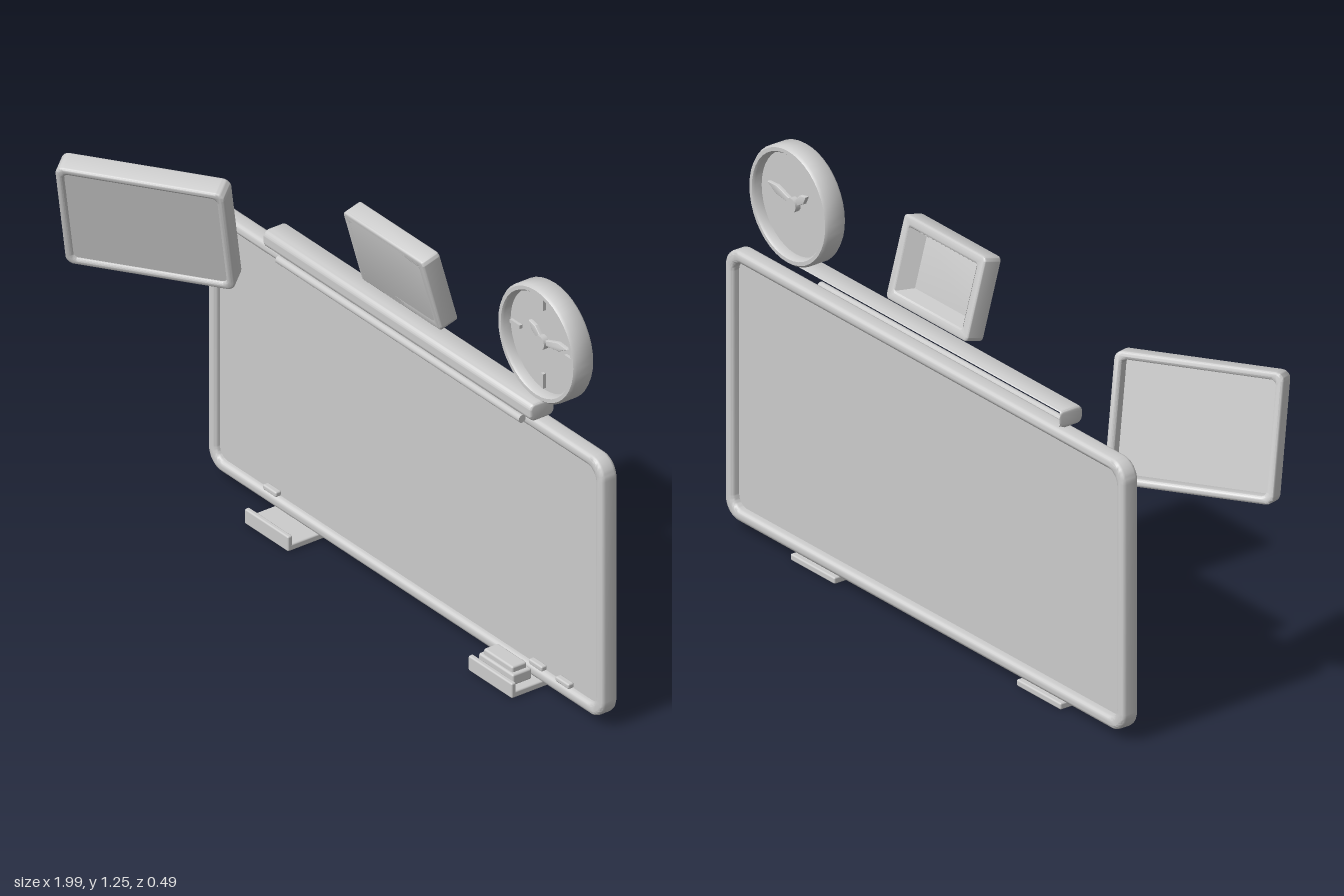
import * as THREE from 'three';
import { toCreasedNormals } from 'three/addons/utils/BufferGeometryUtils.js';
import { RoundedBoxGeometry } from 'three/addons/geometries/RoundedBoxGeometry.js';

const grey = new THREE.MeshStandardMaterial({ color: 0xcccccc });
const greyDouble = new THREE.MeshStandardMaterial({ color: 0xcccccc, side: THREE.DoubleSide });

function add(parent, name, geometry, x = 0, y = 0, z = 0, material = grey) {
  const mesh = new THREE.Mesh(geometry, material);
  mesh.name = name;
  mesh.position.set(x, y, z);
  parent.add(mesh);
  return mesh;
}

function subgroup(parent, name, x, y, z) {
  const g = new THREE.Group();
  g.name = name;
  g.position.set(x, y, z);
  parent.add(g);
  return g;
}

// Rounded rectangle outline centred on the origin
function roundRect(w, h, r, Type = THREE.Shape) {
  const s = new Type(), x = w / 2, y = h / 2;
  s.absarc(x - r, y - r, r, 0, Math.PI / 2);
  s.absarc(-x + r, y - r, r, Math.PI / 2, Math.PI);
  s.absarc(-x + r, -y + r, r, Math.PI, Math.PI * 1.5);
  s.absarc(x - r, -y + r, r, Math.PI * 1.5, Math.PI * 2);
  s.closePath();
  return s;
}

// Bevelled slab centred in depth
function slab(shape, depth, bevel) {
  const geo = new THREE.ExtrudeGeometry(shape, {
    depth: depth - 2 * bevel, bevelThickness: bevel, bevelSize: bevel,
    bevelOffset: -bevel, bevelSegments: 3, curveSegments: 6,
  });
  geo.translate(0, 0, bevel - depth / 2);
  return toCreasedNormals(geo, 0.6);
}

function frame(w, h, depth, border, r, innerR, bevel) {
  const s = roundRect(w, h, r);
  s.holes.push(roundRect(w - 2 * border, h - 2 * border, innerR, THREE.Path));
  return slab(s, depth, bevel);
}

function addBoard(root) {
  const g = subgroup(root, 'whiteboard', 0.115, 0.434, -0.203);
  add(g, 'boardFrame', frame(1.77, 0.812, 0.054, 0.035, 0.06, 0.035, 0.012));
  add(g, 'boardSurface', new THREE.BoxGeometry(1.72, 0.76, 0.012), 0, 0, 0.004);
  // Small clips along the lower frame
  for (const x of [-0.49, 0.70, 0.82]) {
    add(root, 'clip', new RoundedBoxGeometry(0.06, 0.016, 0.02, 2, 0.005), x, 0.072, -0.184);
  }
}

function addScreenRoller(root) {
  const g = subgroup(root, 'screenRoller', 0.11, 0.872, -0.193);
  // Housing shell, open along its back
  const geo = slab(roundRect(0.084, 0.054, 0.02), 1.2, 0.008).rotateY(Math.PI / 2);
  const p = geo.attributes.position, kept = [];
  for (let i = 0; i < p.count; i += 3) {
    const [a, b, c] = [0, 1, 2].map(k => new THREE.Vector3().fromBufferAttribute(p, i + k));
    const n = b.clone().sub(a).cross(c.clone().sub(a)).normalize();
    const bottomBack = n.y < -0.5 && (a.z + b.z + c.z) / 3 < -0.02;
    if (n.z > -0.6 && !bottomBack) kept.push(i, i + 1, i + 2);
  }
  geo.setIndex(kept);
  add(g, 'rollerHousing', geo);
  const bar = new THREE.CylinderGeometry(0.012, 0.012, 1.09, 12).rotateZ(Math.PI / 2);
  add(g, 'pullBar', bar, 0, -0.044, 0.028);
}

function addClock(root) {
  const g = subgroup(root, 'clock', 0.695, 1.075, -0.215);
  const profile = [
    [0.152, -0.027], [0.157, -0.034], [0.168, -0.034], [0.174, -0.026], [0.174, 0.026],
    [0.168, 0.034], [0.157, 0.034], [0.152, 0.027], [0.152, -0.027],
  ].map(q => new THREE.Vector2(...q));
  add(g, 'clockRim', toCreasedNormals(new THREE.LatheGeometry(profile, 40), 0.9).rotateX(Math.PI / 2));
  add(g, 'clockFace', new THREE.CylinderGeometry(0.154, 0.154, 0.008, 40).rotateX(Math.PI / 2));
  add(g, 'hub', new THREE.CylinderGeometry(0.021, 0.021, 0.044, 16).rotateX(Math.PI / 2));
  // Quarter marks
  for (let i = 0; i < 4; i++) {
    const a = i * Math.PI / 2;
    const mark = add(g, 'hourMark', new THREE.BoxGeometry(0.045, 0.011, 0.014),
      Math.cos(a) * 0.122, Math.sin(a) * 0.122, 0.006);
    mark.rotation.z = a;
  }
  // Tapered hands
  for (const [name, length, angle] of [['minuteHand', 0.118, 0.24], ['hourHand', 0.072, 2.5]]) {
    const s = new THREE.Shape([[0, -0.006], [length * 0.65, -0.013], [length, 0],
      [length * 0.65, 0.013], [0, 0.006]].map(q => new THREE.Vector2(...q)));
    add(g, name, slab(s, 0.03, 0.002)).rotation.z = angle;
  }
}

function addTelevision(root) {
  const g = subgroup(root, 'television', -0.75, 0.875, 0.04);
  g.rotation.set(0.275, 0.6, 0, 'YXZ');
  add(g, 'televisionCasing', frame(0.485, 0.368, 0.07, 0.023, 0.025, 0.015, 0.008));
  add(g, 'televisionScreen', new THREE.BoxGeometry(0.45, 0.33, 0.012), 0, 0, 0.02);
}

function addProjector(root) {
  const g = subgroup(root, 'wallMonitor', 0.11, 1.058, -0.165);
  g.rotation.x = 0.275;
  add(g, 'monitorCasing', frame(0.36, 0.246, 0.06, 0.03, 0.014, 0.006, 0.006));
  add(g, 'monitorFront', slab(roundRect(0.36, 0.246, 0.014), 0.014, 0.006), 0, 0, 0.023);
  // Sloped recess in the back
  const recess = new THREE.CylinderGeometry(0.8, 1, 0.045, 4, 1, true).rotateY(Math.PI / 4)
    .rotateX(Math.PI / 2).scale(0.3 / Math.SQRT2, 0.186 / Math.SQRT2, 1);
  add(g, 'monitorRecess', toCreasedNormals(recess, 0.3), 0, 0, -0.005, greyDouble);
}

function addTrays(root) {
  for (const x of [-0.392, 0.61]) {
    const g = subgroup(root, 'tray', x, 0, 0);
    add(g, 'trayBase', new RoundedBoxGeometry(0.196, 0.02, 0.14, 2, 0.005), 0, 0.01, -0.159);
    add(g, 'trayLip', new RoundedBoxGeometry(0.196, 0.047, 0.016, 2, 0.005), 0, 0.0235, -0.097);
  }
  // Board eraser resting on the tray on the model's left
  const e = subgroup(root, 'eraser', 0.61, 0, -0.141);
  add(e, 'eraserPad', new RoundedBoxGeometry(0.155, 0.034, 0.065, 2, 0.006), 0, 0.041, 0);
  add(e, 'eraserGrip', new RoundedBoxGeometry(0.13, 0.024, 0.05, 2, 0.006), 0, 0.063, 0);
}

export function createModel() {
  const root = new THREE.Group();
  root.name = 'classroomBoard';
  addBoard(root);
  addScreenRoller(root);
  addClock(root);
  addTelevision(root);
  addProjector(root);
  addTrays(root);
  return root;
}
